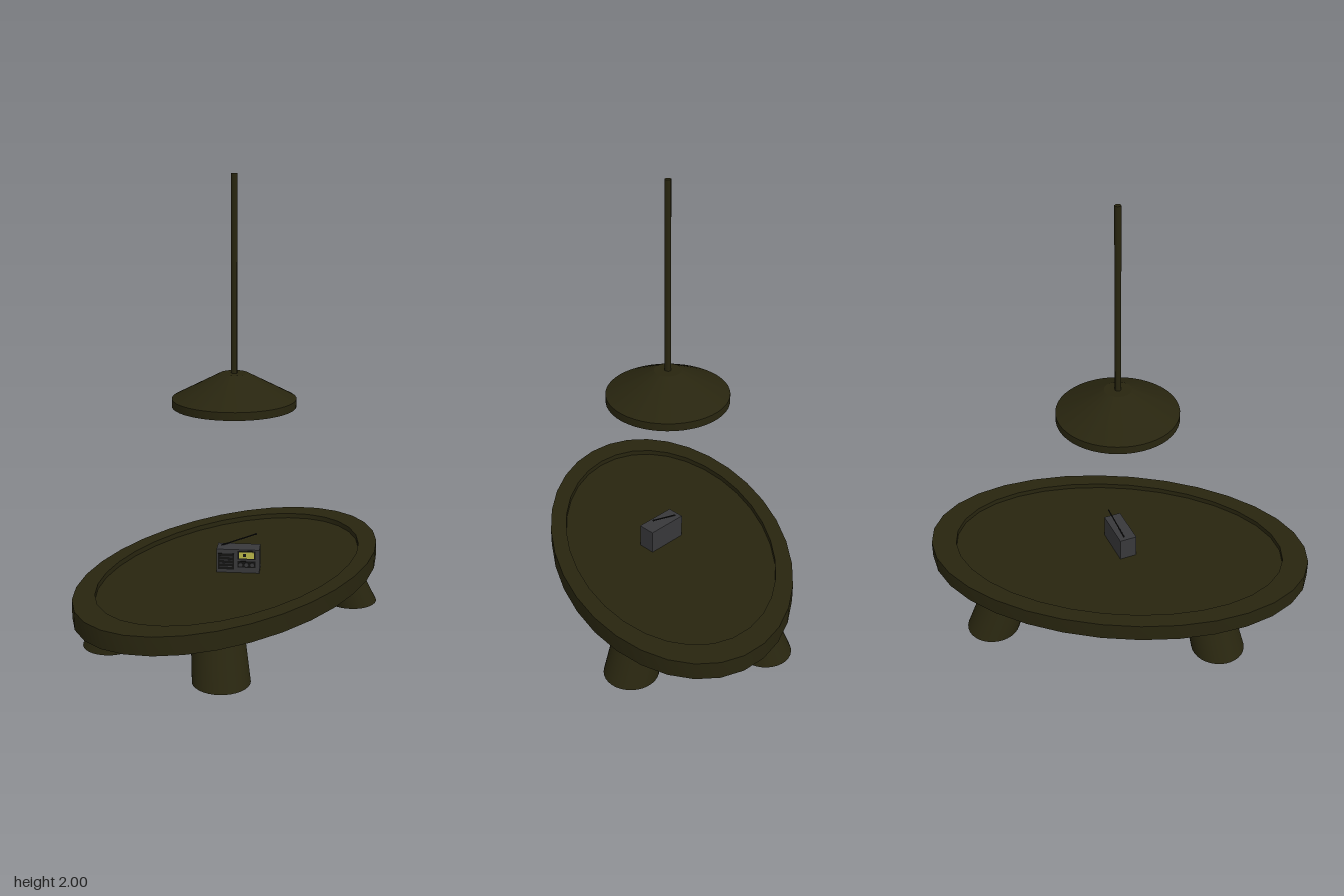
import * as THREE from 'three';
import { toCreasedNormals } from 'three/addons/utils/BufferGeometryUtils.js';

const material = (name, color, side = THREE.FrontSide) => {
  const m = new THREE.MeshStandardMaterial({ color, side });
  m.name = name;
  return m;
};

export function createModel() {
  const model = new THREE.Group();
  model.name = 'tableWithLampAndRadio';
  const wood = material('dark olive', 0x28250f, THREE.DoubleSide);
  const glass = material('bulb yellow', 0xd2cc5c);
  const grey = material('radio grey', 0x38383a);
  const black = material('radio black', 0x131312);
  const yellow = material('display yellow', 0xb9b648);

  const add = (parent, name, geometry, mat, x = 0, y = 0, z = 0) => {
    const mesh = new THREE.Mesh(geometry, mat);
    mesh.name = name;
    mesh.position.set(x, y, z);
    parent.add(mesh);
    return mesh;
  };
  const lathe = (points, segments, crease = 0.5) =>
    toCreasedNormals(new THREE.LatheGeometry(points.map(([r, y]) => new THREE.Vector2(r, y)), segments), crease);

  // Oval table top with a raised rim around a shallow recess
  const table = new THREE.Group();
  table.name = 'table';
  model.add(table);
  const floorY = 0.262;
  const top = new THREE.LatheGeometry([
    [0, 0.205], [0.53, 0.205], [0.53, 0.285], [0.46, 0.285], [0.46, floorY], [0, floorY],
  ].map(([r, y]) => new THREE.Vector2(r, y)), 32);
  top.scale(1, 1, 0.885 / 0.53);
  add(table, 'tableTop', toCreasedNormals(top, 0.5), wood);

  // Splayed legs: cylinders sheared so both ends stay level
  const legHeight = 0.21;
  const legs = [
    [0.3, 0.5, 0.228, 0.432], [-0.3, 0.5, -0.228, 0.432],
    [0.295, -0.537, 0.228, -0.47], [-0.303, -0.542, -0.228, -0.47],
  ];
  for (const [footX, footZ, topX, topZ] of legs) {
    const leg = new THREE.CylinderGeometry(0.109, 0.12, legHeight, 32);
    leg.translate(0, legHeight / 2, 0);
    const p = leg.attributes.position;
    for (let i = 0; i < p.count; i++) {
      const t = p.getY(i) / legHeight;
      p.setX(i, p.getX(i) + footX + (topX - footX) * t);
      p.setZ(i, p.getZ(i) + footZ + (topZ - footZ) * t);
    }
    add(table, 'leg', toCreasedNormals(leg, 0.6), wood);
  }

  // Hanging lamp: rod, open shade and bulb
  const lamp = new THREE.Group();
  lamp.name = 'lamp';
  model.add(lamp);
  add(lamp, 'rod', new THREE.CylinderGeometry(0.014, 0.014, 0.85, 8), wood, 0, 1.575, 0);
  add(lamp, 'shade', lathe([[0.27, 1.01], [0.27, 1.045], [0.06, 1.155], [0, 1.155]], 48, 0.4), wood);
  add(lamp, 'bulb', lathe([
    [0, 0.98], [0.022, 0.985], [0.042, 1.0], [0.054, 1.02], [0.056, 1.035],
    [0.053, 1.055], [0.043, 1.08], [0.038, 1.095], [0.038, 1.125], [0, 1.125],
  ], 24, 0.8), glass, -0.008, 0, 0.008);

  // Small radio, turned toward the front left
  const radio = new THREE.Group();
  radio.name = 'radio';
  radio.position.set(0.03, 0, 0.007);
  radio.rotation.y = THREE.MathUtils.degToRad(31);
  model.add(radio);
  const w = 0.19, d = 0.08, topY = 0.37;
  const h = topY - floorY;
  add(radio, 'radioBody', new THREE.BoxGeometry(w, h, d), grey, 0, floorY + h / 2, 0);

  // Face details as thin plates
  const plate = (name, width, height, mat, x, y, lift = 0) =>
    add(radio, name, new THREE.BoxGeometry(width, height, 0.004), mat, x, y, d / 2 + lift);
  plate('speaker', 0.072, 0.074, black, -0.053, 0.314);
  for (let i = 0; i < 4; i++) plate('speakerSlat', 0.058, 0.003, grey, -0.053, 0.291 + i * 0.015, 0.001);
  plate('displayFrame', 0.08, 0.04, black, 0.038, 0.345);
  plate('display', 0.066, 0.029, yellow, 0.038, 0.345, 0.002);
  plate('displayMark', 0.012, 0.013, black, 0.03, 0.346, 0.003);
  plate('controlPanel', 0.08, 0.03, black, 0.038, 0.302);
  for (const x of [0.012, 0.038, 0.064]) {
    const knob = add(radio, 'knob', new THREE.CylinderGeometry(0.009, 0.009, 0.008, 16), grey, x, 0.302, d / 2 + 0.003);
    knob.rotation.x = Math.PI / 2;
  }

  // Telescopic antenna leaning across the top
  const from = new THREE.Vector3(-0.077, 0.37, -0.012);
  const to = new THREE.Vector3(0.075, 0.422, -0.026);
  add(radio, 'antenna', new THREE.TubeGeometry(new THREE.LineCurve3(from, to), 1, 0.003, 8), black);
  add(radio, 'antennaTip', new THREE.SphereGeometry(0.004, 10, 8), black, to.x, to.y, to.z);

  return model;
}
